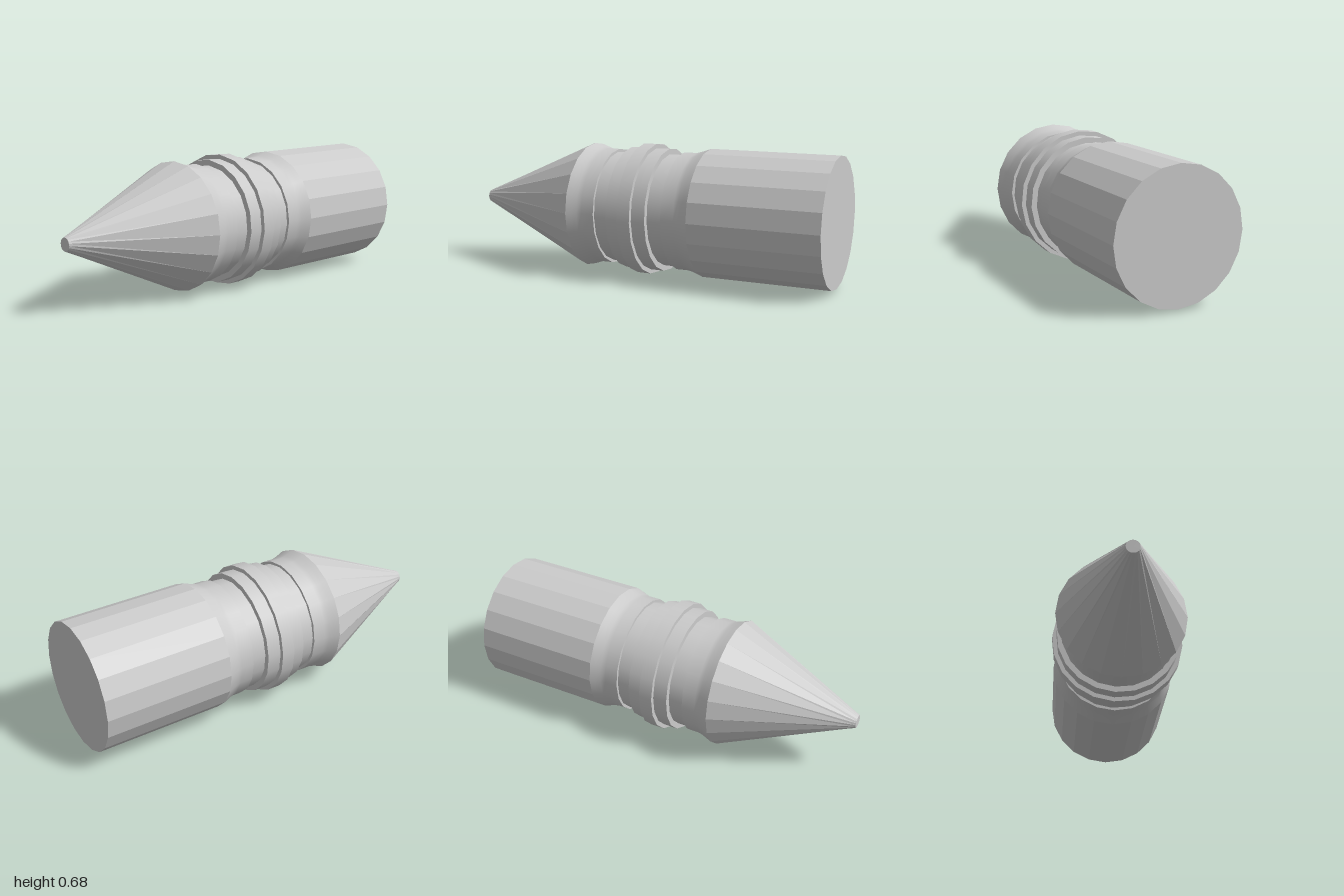
import * as THREE from 'three';

const SIDES = 20;
const AXIS_HEIGHT = 0.342;
const RING_TURN = -THREE.MathUtils.degToRad(3);

const smooth = new THREE.MeshStandardMaterial({ color: 0xcccccc });
const faceted = new THREE.MeshStandardMaterial({ color: 0xcccccc, flatShading: true });

// Capped cylinder or cone lying along z, from z0 (radius r0) to z1 (radius r1)
function section(name, z0, z1, r0, r1, material, turn = 0) {
  const geometry = new THREE.CylinderGeometry(r1, r0, z1 - z0, SIDES);
  geometry.rotateX(Math.PI / 2);
  geometry.rotateZ(turn);
  geometry.translate(0, 0, (z0 + z1) / 2);
  const mesh = new THREE.Mesh(geometry, material);
  mesh.name = name;
  return mesh;
}

// Turns the small end of the cone slightly about its axis
function twistTip(geometry, tipZ, angle) {
  const p = geometry.attributes.position;
  const v = new THREE.Vector3();
  const axis = new THREE.Vector3(0, 0, 1);
  for (let i = 0; i < p.count; i++) {
    v.fromBufferAttribute(p, i);
    if (v.z > tipZ - 0.01) v.applyAxisAngle(axis, angle);
    p.setXYZ(i, v.x, v.y, v.z);
  }
  geometry.computeVertexNormals();
}

// Smooth flared neck widening towards +z, with a flat ledge on its inner end
function flaredNeck(name) {
  const neck = new THREE.Group();
  neck.name = name;
  const profile = [
    [0.305, 0.187], [0.305, 0.255], [0.311, 0.28], [0.32, 0.306], [0.33, 0.333],
  ].map(([r, z]) => new THREE.Vector2(r, z));
  const flare = new THREE.Mesh(new THREE.LatheGeometry(profile, SIDES).rotateX(Math.PI / 2), smooth);
  flare.name = 'flare';
  const ledge = new THREE.Mesh(new THREE.RingGeometry(0.27, 0.305, SIDES).rotateY(Math.PI), smooth);
  ledge.name = 'ledge';
  ledge.position.z = 0.187;
  neck.add(flare, ledge);
  return neck;
}

export function createModel() {
  const model = new THREE.Group();
  model.name = 'pointedCylinder';

  // Faceted ends
  const nose = section('noseCone', 0.333, 1, 0.33, 0.033, faceted);
  twistTip(nose.geometry, 1, THREE.MathUtils.degToRad(15));
  const barrel = section('barrel', -1, -0.333, 0.33, 0.33, faceted);

  // Mirrored necks
  const frontNeck = flaredNeck('frontNeck');
  const rearNeck = flaredNeck('rearNeck');
  rearNeck.rotation.y = Math.PI;

  // Stepped rings around the middle
  const rings = [
    ['grooveCore', 0.19, 0.291],
    ['band', 0.108, 0.32],
    ['collar', 0.035, 0.342],
  ].map(([name, half, r]) => section(name, -half, half, r, r, smooth, RING_TURN));

  model.add(nose, barrel, frontNeck, rearNeck, ...rings);
  for (const part of model.children) part.position.y = AXIS_HEIGHT;
  return model;
}
